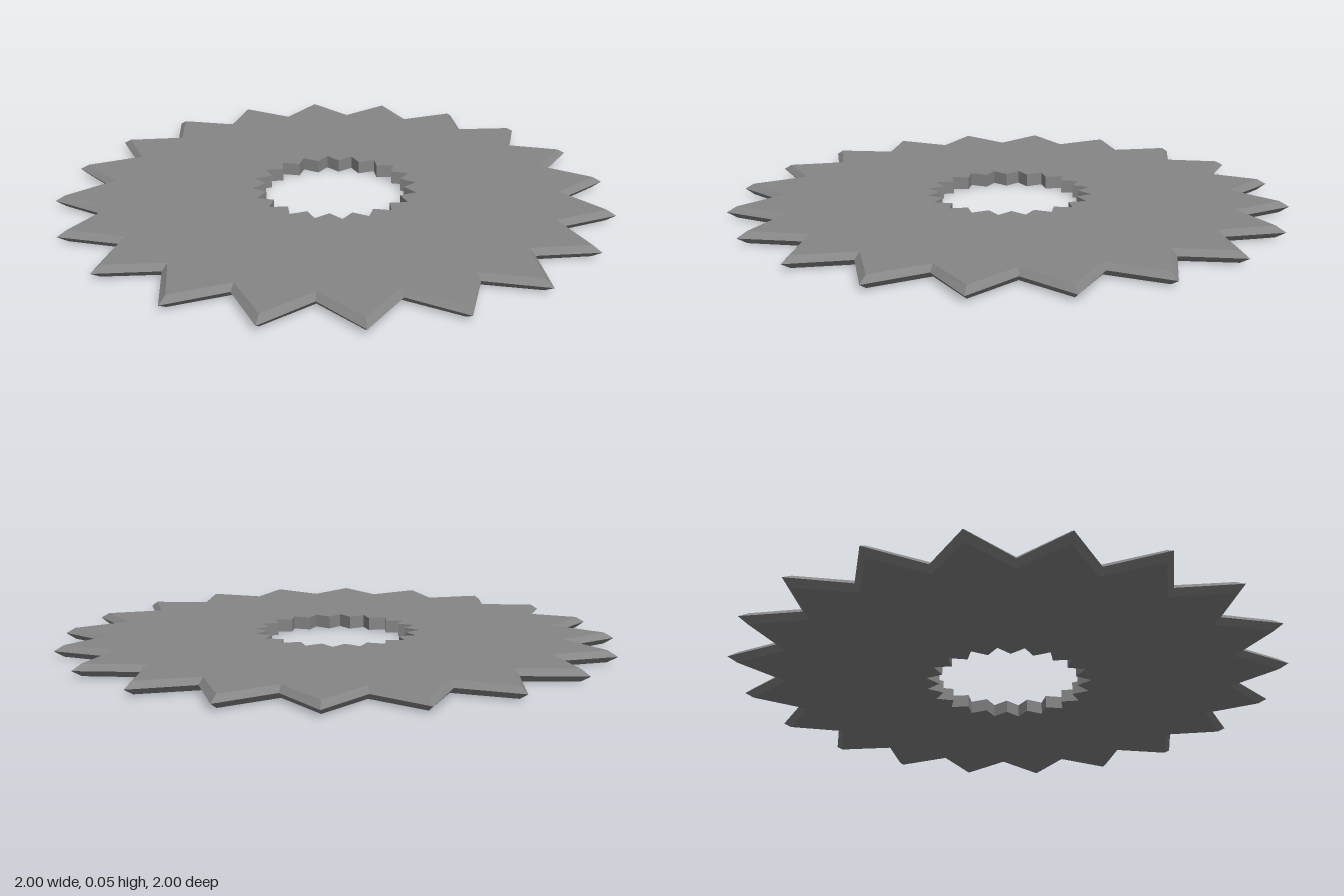
import * as THREE from 'three';

const TEETH = 20;

// Cross-section of the disc, outside edge first: radius at a tooth tip, radius at a gap, height
const PROFILE = [
  [1.0, 0.835, 0.024], // sharp cutting edge
  [0.965, 0.81, 0.044], // top of the bevel
  [0.3, 0.252, 0.047], // top of the bore
  [0.3, 0.252, 0], // bottom of the bore
  [0.965, 0.81, 0.003], // bottom of the bevel
];

export function createModel() {
  const group = new THREE.Group();
  group.name = 'toothedDisc';

  const steps = TEETH * 2;
  const rings = PROFILE.length;
  const positions = [];
  const indices = [];

  // Sweep the cross-section around y, alternating tip and gap
  for (let i = 0; i < steps; i++) {
    const angle = (i / steps) * Math.PI * 2;
    for (const [tip, gap, y] of PROFILE) {
      const r = i % 2 === 0 ? tip : gap;
      positions.push(r * Math.sin(angle), y, r * Math.cos(angle));
    }
  }
  for (let i = 0; i < steps; i++) {
    for (let j = 0; j < rings; j++) {
      const a = i * rings + j;
      const b = ((i + 1) % steps) * rings + j;
      const c = ((i + 1) % steps) * rings + ((j + 1) % rings);
      const d = i * rings + ((j + 1) % rings);
      indices.push(a, b, c, a, c, d);
    }
  }

  const indexed = new THREE.BufferGeometry();
  indexed.setAttribute('position', new THREE.Float32BufferAttribute(positions, 3));
  indexed.setIndex(indices);
  const geometry = indexed.toNonIndexed();
  geometry.computeVertexNormals();

  const blade = new THREE.Mesh(
    geometry,
    new THREE.MeshStandardMaterial({ color: 0x868686, flatShading: true })
  );
  blade.name = 'blade';
  group.add(blade);
  return group;
}
